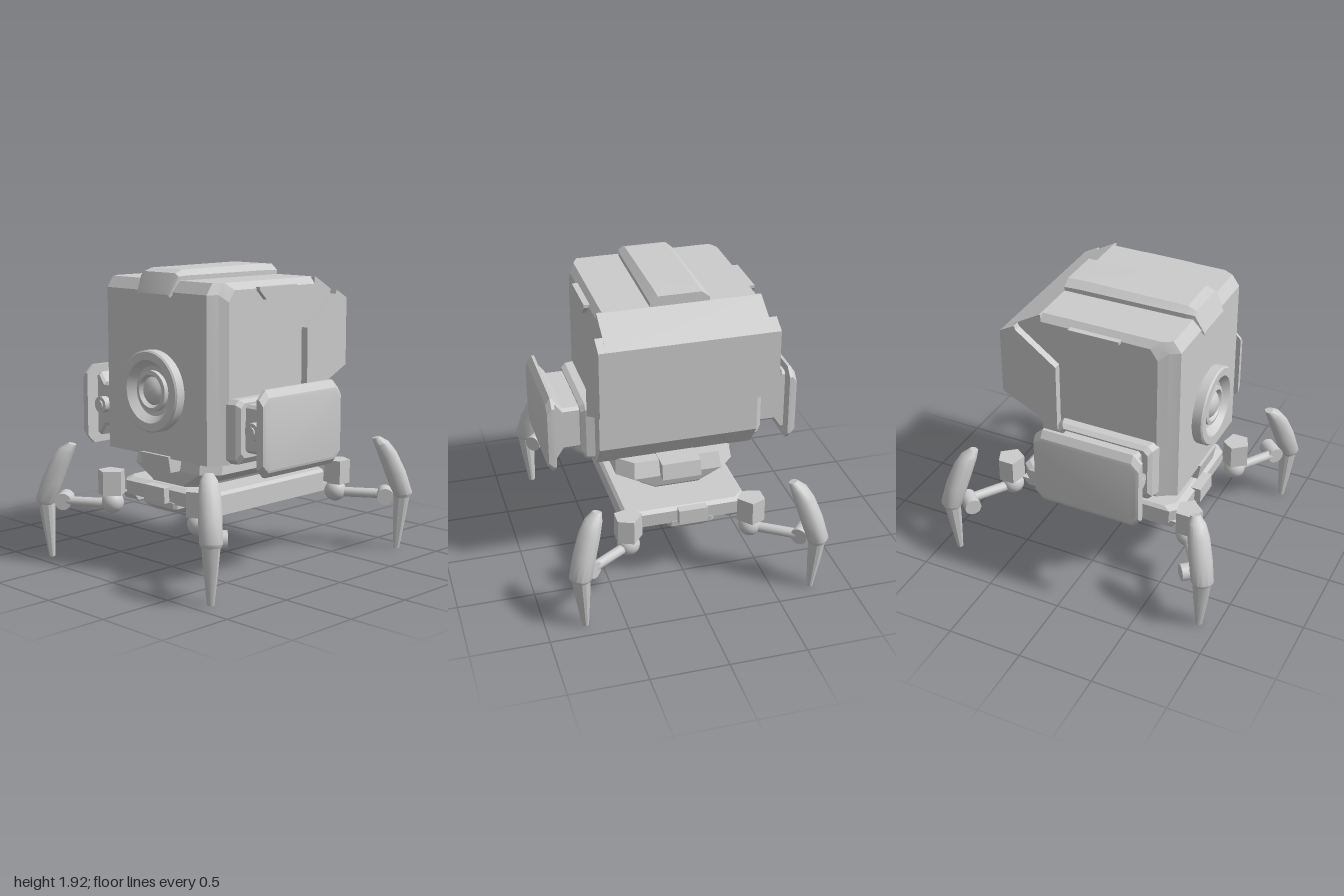
import * as THREE from 'three';
import { toCreasedNormals } from 'three/addons/utils/BufferGeometryUtils.js';

const mat = new THREE.MeshStandardMaterial({ color: 0xcccccc });
const V = (x, y, z) => new THREE.Vector3(x, y, z);
const ZC = -0.025; // the hull sits slightly behind the leg centre

function add(parent, name, geo, crease = 0.3) {
  const mesh = new THREE.Mesh(crease ? toCreasedNormals(geo, crease) : geo, mat);
  mesh.name = name;
  parent.add(mesh);
  return mesh;
}

// Skin a list of convex cross-sections and cap both ends; faces are turned outwards.
function loft(rings) {
  const n = rings[0].length, pts = rings.flat(), tris = [];
  for (let r = 0; r < rings.length - 1; r++)
    for (let i = 0; i < n; i++) {
      const a = r * n + i, b = r * n + (i + 1) % n;
      tris.push([a, b, b + n], [a, b + n, a + n]);
    }
  const e = (rings.length - 1) * n;
  for (let i = 1; i < n - 1; i++) tris.push([0, i + 1, i], [e, e + i, e + i + 1]);
  const o = pts[0];
  let vol = 0;
  for (const [a, b, c] of tris)
    vol += pts[a].clone().sub(o).dot(pts[b].clone().sub(o).cross(pts[c].clone().sub(o)));
  const geo = new THREE.BufferGeometry().setFromPoints(pts);
  geo.setIndex(tris.flatMap(([a, b, c]) => (vol < 0 ? [a, c, b] : [a, b, c])));
  geo.computeVertexNormals();
  return geo;
}

// Rectangle with cut corners, as [u, v] pairs
const cutRect = (u0, u1, v0, v1, c) => [
  [u0 + c, v0], [u1 - c, v0], [u1, v0 + c], [u1, v1 - c],
  [u1 - c, v1], [u0 + c, v1], [u0, v1 - c], [u0, v0 + c]];
const atZ = (ring, z) => ring.map(([x, y]) => V(x, y, z));
const atY = (ring, y) => ring.map(([x, z]) => V(x, y, z));

// Side outline (x, y) extruded from z0 to z1
function slab(points, z0, z1) {
  const shape = new THREE.Shape(points.map(([x, y]) => new THREE.Vector2(x, y)));
  return new THREE.ExtrudeGeometry(shape, { depth: z1 - z0, bevelEnabled: false }).translate(0, 0, z0);
}

// Cylinder between two points
function rod(parent, name, a, b, r, sides) {
  const d = b.clone().sub(a);
  const mesh = add(parent, name, new THREE.CylinderGeometry(r, r, d.length(), sides), 0.8);
  mesh.position.copy(a).add(b).multiplyScalar(0.5);
  mesh.quaternion.setFromUnitVectors(V(0, 1, 0), d.normalize());
}

function buildHull(g) {
  // Main box: chamfered rear corners and top edges
  const section = (back, top) => [
    [back, 0.74], [0.2, 0.74], [0.31, 0.89], [0.31, top], [back + 0.05, top], [back, top - 0.07]];
  add(g, 'hull', loft([
    atZ(section(-0.48, 1.81), -0.55), atZ(section(-0.535, 1.855), -0.515), atZ(section(-0.6, 1.855), -0.48),
    atZ(section(-0.6, 1.855), 0.43), atZ(section(-0.535, 1.855), 0.465), atZ(section(-0.48, 1.81), 0.5)]));

  // Overhanging front with wider cheeks
  add(g, 'snoutTop', slab([[0.3, 1.6], [0.5, 1.6], [0.56, 1.71], [0.31, 1.855], [0.3, 1.855]], -0.55, 0.5));
  add(g, 'snout', slab([[0.18, 1.08], [0.31, 1.15], [0.56, 1.27], [0.56, 1.71],
    [0.46, 1.765], [0.45, 1.74], [0.18, 1.54]], -0.6, 0.55));

  // Raised strip along the roof, folding over the rear edge
  const strip = (x, y0, y1, y2, w, t) => [
    V(x, y0, ZC - w), V(x, y0, ZC + w), V(x, y1, ZC + w), V(x, y2, ZC + t), V(x, y2, ZC - t), V(x, y1, ZC - w)];
  add(g, 'roofStrip', loft([
    strip(-0.62, 1.75, 1.76, 1.77, 0.15, 0.13), strip(-0.56, 1.8, 1.88, 1.9, 0.17, 0.14),
    strip(-0.5, 1.84, 1.885, 1.92, 0.18, 0.14), strip(0.2, 1.84, 1.885, 1.925, 0.19, 0.14),
    strip(0.31, 1.84, 1.88, 1.92, 0.19, 0.14)]));

  // Round rear speaker
  const profile = [[0.26, -0.02], [0.26, 0.06], [0.25, 0.07], [0.2, 0.07], [0.16, 0.02], [0.13, 0.015],
    [0.13, 0.045], [0.105, 0.05], [0.09, 0.025], [0.07, 0.045], [0.04, 0.06], [0, 0.065]];
  const speaker = add(g, 'rearSpeaker',
    new THREE.LatheGeometry(profile.map(([r, h]) => new THREE.Vector2(r, h)), 40), 0.5);
  speaker.rotation.z = Math.PI / 2;
  speaker.position.set(-0.6, 1.16, ZC);
}

function buildSide(g, s) {
  const z = d => ZC + s * d;
  // Grab handle under the roof edge
  const handle = [[-0.24, 1.82], [0.1, 1.82], [0.1, 1.8], [0.04, 1.74], [-0.18, 1.74], [-0.24, 1.8]];
  add(g, 'sideHandle', loft([atZ(handle, z(0.5)), atZ(handle, z(0.555))]));

  // Pod mount, neck and outer shield
  add(g, 'podMount', loft([
    atZ(cutRect(-0.5, 0.19, 0.745, 1.15, 0.03), z(0.5)),
    atZ(cutRect(-0.48, 0.17, 0.75, 1.15, 0.03), z(0.58)),
    atZ(cutRect(-0.46, 0.15, 0.79, 1.13, 0.03), z(0.61))]));
  add(g, 'podNeck', loft([
    atZ(cutRect(-0.42, 0.12, 0.82, 1.12, 0.02), z(0.58)),
    atZ(cutRect(-0.42, 0.12, 0.82, 1.12, 0.02), z(0.72)),
    atZ(cutRect(-0.42, 0.12, 0.75, 1.18, 0.02), z(0.765)),
    atZ(cutRect(-0.42, 0.12, 0.75, 1.18, 0.02), z(0.8))]));
  add(g, 'podShield', loft([
    atZ(cutRect(-0.51, 0.21, 0.7, 1.235, 0.055), z(0.785)),
    atZ(cutRect(-0.51, 0.21, 0.7, 1.235, 0.055), z(0.805)),
    atZ(cutRect(-0.505, 0.205, 0.735, 1.19, 0.05), z(0.835)),
    atZ(cutRect(-0.49, 0.19, 0.75, 1.17, 0.05), z(0.84))]));
  rod(g, 'podBolt', V(-0.47, 0.97, z(0.705)), V(-0.38, 0.97, z(0.705)), 0.055, 20);
  rod(g, 'podBoltCore', V(-0.48, 0.97, z(0.705)), V(-0.38, 0.97, z(0.705)), 0.03, 16);
}

function buildChassis(g) {
  // Turntable under the hull
  add(g, 'turntable', loft([
    atY(cutRect(-0.5, 0.29, -0.4, 0.37, 0.1), 0.75), atY(cutRect(-0.52, 0.33, -0.41, 0.38, 0.1), 0.65),
    atY(cutRect(-0.51, 0.31, -0.25, 0.22, 0.08), 0.565), atY(cutRect(-0.5, 0.28, -0.23, 0.2, 0.08), 0.53)]));
  add(g, 'turntableBar', slab([[-0.6, 0.65], [0.39, 0.65], [0.37, 0.755], [-0.62, 0.755]], -0.155, 0.105));

  // Leg frame and keel
  add(g, 'frame', loft([
    atY(cutRect(-0.57, 0.57, -0.41, 0.41, 0.06), 0.44), atY(cutRect(-0.575, 0.575, -0.41, 0.41, 0.06), 0.53),
    atY(cutRect(-0.53, 0.55, -0.39, 0.39, 0.06), 0.55)]));
  add(g, 'keel', loft([
    atY(cutRect(-0.58, 0.575, -0.19, 0.12, 0.02), 0.45), atY(cutRect(-0.575, 0.57, -0.19, 0.12, 0.02), 0.41),
    atY(cutRect(-0.53, 0.54, -0.14, 0.07, 0.02), 0.375)]));
  for (const s of [-1, 1]) {
    add(g, 'sideRail', slab([[-0.57, 0.45], [-0.53, 0.4], [0.53, 0.4], [0.57, 0.45]],
      s * 0.34 - 0.06, s * 0.34 + 0.06)).scale.y = 1;
    const tab = add(g, 'frameTab', new THREE.BoxGeometry(0.07, 0.1, 0.19));
    tab.position.set(s * 0.58, 0.495, -0.035);
  }
}

function buildLeg(parent, sx, sz) {
  const g = new THREE.Group();
  g.name = 'leg';
  parent.add(g);
  const P = (x, y, z) => V(sx * x, y, sz * z);

  // Corner bracket, ball joint and arm
  const corner = [[0.57, 0.37], [0.65, 0.315], [0.74, 0.39], [0.7, 0.485], [0.596, 0.485]];
  add(g, 'cornerBracket', loft([0.44, 0.6].map(y => corner.map(([x, z]) => P(x, y, z)))));
  const ball = add(g, 'hipBall', new THREE.SphereGeometry(0.073, 24, 16), 0);
  ball.position.copy(P(0.645, 0.385, 0.405));
  rod(g, 'arm', P(0.66, 0.375, 0.43), P(0.83, 0.375, 0.69), 0.033, 12);
  rod(g, 'kneePin', P(0.75, 0.375, 0.755), P(0.855, 0.375, 0.665), 0.055, 20);

  // Ring of the claw: s runs outwards from the foot, w is half the width
  const ring = (s0, s1, y0, y1, w) => Array.from({ length: 12 }, (_, i) => {
    const a = (i + 0.5) / 12 * Math.PI * 2, c = Math.cos(a);
    const k = Math.sign(c) * Math.abs(c) ** 0.7, t = (k + 1) / 2;
    const s = s0 + (s1 - s0) * t, q = w * Math.sin(a);
    return P(0.885 + 0.64 * s - 0.77 * q, y0 + (y1 - y0) * t, 0.75 + 0.77 * s + 0.64 * q);
  });
  add(g, 'upperClaw', loft([
    ring(-0.175, -0.125, 0.755, 0.768, 0.03), ring(-0.16, -0.065, 0.71, 0.735, 0.055),
    ring(-0.125, -0.01, 0.62, 0.665, 0.068), ring(-0.08, 0.055, 0.5, 0.53, 0.072),
    ring(-0.03, 0.1, 0.37, 0.39, 0.07), ring(-0.02, 0.09, 0.355, 0.365, 0.06)]), 0.7);
  add(g, 'lowerClaw', loft([
    ring(-0.025, 0.085, 0.38, 0.38, 0.058), ring(-0.025, 0.06, 0.22, 0.22, 0.045),
    ring(-0.02, 0.02, 0, 0, 0.022)]), 0.45);
}

export function createModel() {
  const model = new THREE.Group();
  model.name = 'walkerRobot';
  const hull = new THREE.Group();
  hull.name = 'upperBody';
  const chassis = new THREE.Group();
  chassis.name = 'chassis';
  model.add(hull, chassis);
  buildHull(hull);
  buildChassis(chassis);
  for (const sz of [-1, 1]) {
    buildSide(hull, sz);
    for (const sx of [-1, 1]) buildLeg(chassis, sx, sz);
  }
  return model;
}
